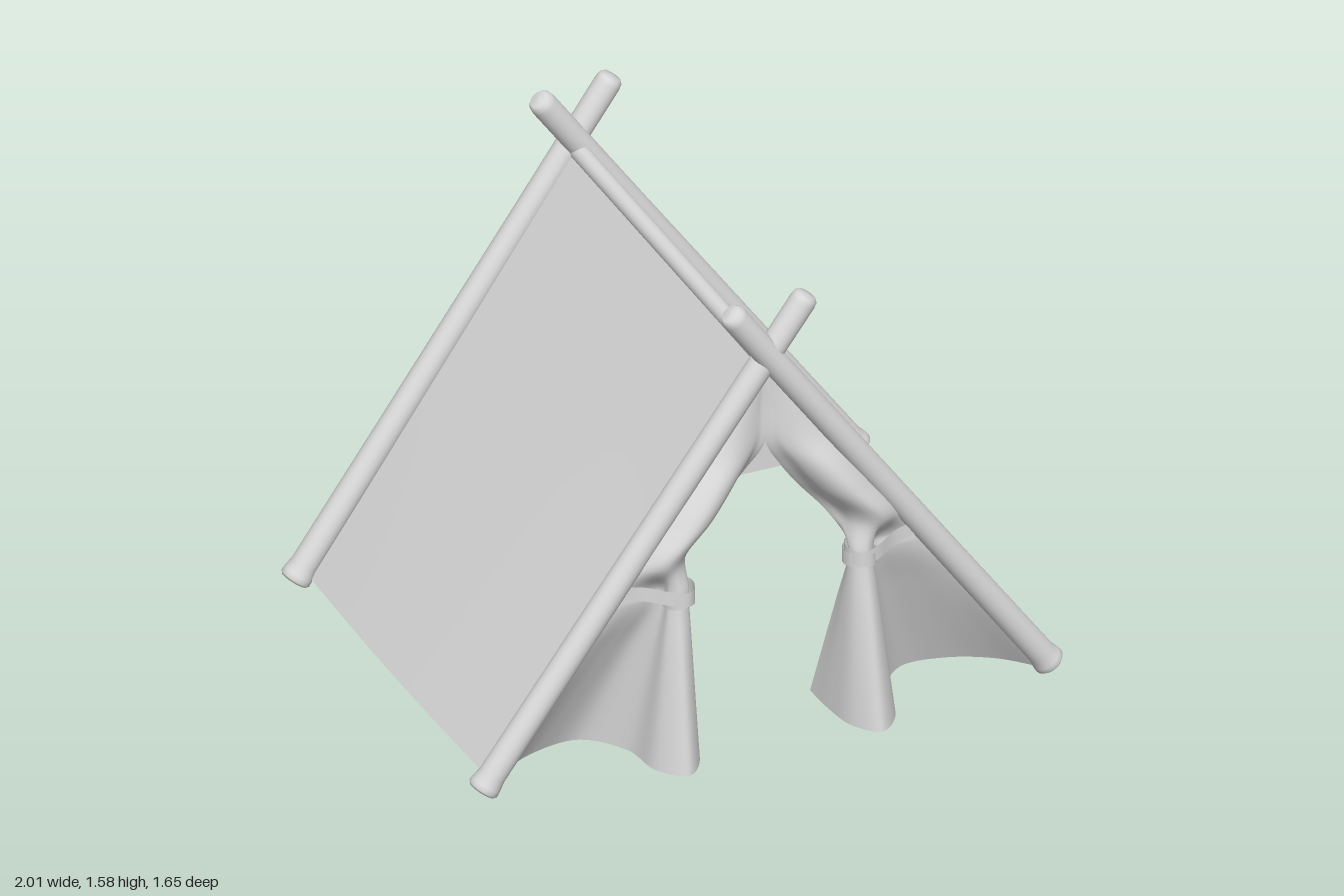
import * as THREE from 'three';

const canvas = new THREE.MeshStandardMaterial({ color: 0xd9d9d9, side: THREE.DoubleSide });
canvas.name = 'paleGrey';

const V = (x, y, z) => new THREE.Vector3(x, y, z);
const lerp = THREE.MathUtils.lerp;
const poleX = y => (1.383 - y) / 1.405; // slope of the crossed poles

function add(group, name, geometry) {
  const mesh = new THREE.Mesh(geometry, canvas);
  mesh.name = name;
  group.add(mesh);
  return mesh;
}

// Smooth sheet from a rule f(u, v) -> Vector3
function sheet(f, nu, nv) {
  const g = new THREE.PlaneGeometry(1, 1, nu, nv);
  const p = g.attributes.position;
  for (let i = 0; i < p.count; i++) {
    const q = f(p.getX(i) + 0.5, p.getY(i) + 0.5);
    p.setXYZ(i, q.x, q.y, q.z);
  }
  g.computeVertexNormals();
  return g;
}

// Round pole with a flared foot and a softened tip
function pole(group, name, foot, tip) {
  const dir = tip.clone().sub(foot);
  const L = dir.length();
  const profile = [
    [0, 0], [0.044, 0], [0.051, 0.008], [0.05, 0.025], [0.044, 0.06], [0.043, L * 0.3],
    [0.042, L * 0.7], [0.043, L - 0.03], [0.04, L - 0.01], [0.031, L], [0, L + 0.003],
  ].map(([r, y]) => new THREE.Vector2(r, y));
  const mesh = add(group, name, new THREE.LatheGeometry(profile, 20));
  mesh.position.copy(foot);
  mesh.quaternion.setFromUnitVectors(V(0, 1, 0), dir.normalize());
}

// Curtain cross-sections, listed from the pole inwards as [x, z]
const hem = [[0.95, 0.67], [0.84, 0.56], [0.7, 0.49], [0.55, 0.48], [0.44, 0.6],
  [0.41, 0.75], [0.33, 0.825], [0.26, 0.75], [0.235, 0.62], [0.23, 0.5]];
const gather = [[0.575, 0.675], [0.5, 0.675], [0.43, 0.67], [0.38, 0.67], [0.355, 0.685],
  [0.35, 0.715], [0.32, 0.735], [0.285, 0.72], [0.275, 0.69], [0.29, 0.66]];

function curtainSections() {
  const at = (rows, y) => rows.map(([x, z]) => V(x, y, z));
  const lower = t => at(hem.map(([x, z], i) => [lerp(x, gather[i][0], t), lerp(z, gather[i][1], t)]),
    lerp(0.01, 0.575, t));
  const upper = (y, inner, bulge, tuck) => hem.map((_, i) => {
    const u = i / (hem.length - 1);
    return V(lerp(poleX(y), inner, u), y,
      0.67 + bulge * Math.sin(Math.PI * Math.min(1, u * 1.1)) - tuck * Math.max(0, u - 0.75) * 4);
  });
  return [
    lower(0), lower(0.35), lower(0.7), lower(1), at(gather, 0.62),
    upper(0.72, 0.235, 0.075, 0.05), upper(0.85, 0.13, 0.085, 0.05), upper(0.95, 0.06, 0.07, 0.03),
    upper(1.06, 0, 0.035, 0), upper(1.2, 0, 0.015, 0), upper(1.37, 0, 0, 0),
  ];
}

// Flat ribbon of given height following a closed loop
function ribbon(points, height) {
  const curve = new THREE.CatmullRomCurve3(points, true);
  return sheet((u, v) => curve.getPoint(u).add(V(0, (v - 0.5) * height, 0)), 48, 2);
}

export function createModel() {
  const tent = new THREE.Group();
  tent.name = 'tent';

  // Crossed poles at both ends
  pole(tent, 'frontPoleLeft', V(0.97, 0.03, 0.68), V(-0.135, 1.57, 0.705));
  pole(tent, 'frontPoleRight', V(-0.97, 0.03, 0.67), V(0.135, 1.57, 0.69));
  pole(tent, 'backPoleLeft', V(0.97, 0.03, -0.775), V(-0.135, 1.57, -0.745));
  pole(tent, 'backPoleRight', V(-0.97, 0.03, -0.75), V(0.135, 1.57, -0.785));

  // Ridge pole
  const ridge = add(tent, 'ridgePole', new THREE.CylinderGeometry(0.03, 0.03, 1.46, 16));
  ridge.rotation.x = Math.PI / 2;
  ridge.position.set(0, 1.352, -0.03);

  // Back wall
  add(tent, 'backPanel', sheet((u, v) => {
    const y = lerp(0.04, 1.365, v);
    return V((u - 0.5) * 2 * poleX(y) * 0.985, y, -0.75);
  }, 10, 10));

  const sections = curtainSections();
  for (const s of [1, -1]) {
    const side = new THREE.Group();
    side.name = s > 0 ? 'leftSide' : 'rightSide';
    tent.add(side);

    // Sloping roof wall, bowed slightly outwards along its length
    add(side, 'roofPanel', sheet((u, v) => {
      const y = lerp(0.04, 1.365, v);
      const bow = 0.012 * Math.sin(Math.PI * u) * (1 - v);
      return V(s * (lerp(0.925, 0.008, v) + bow), y, lerp(-0.75, 0.67, u));
    }, 16, 12));

    // Tied-back curtain
    const columns = 60;
    const rows = sections.map(pts => new THREE.CatmullRomCurve3(pts).getPoints(columns));
    const rails = Array.from({ length: columns + 1 },
      (_, i) => new THREE.CatmullRomCurve3(rows.map(r => r[i])));
    add(side, 'curtain', sheet((u, v) => {
      const p = rails[Math.round(u * columns)].getPoint(v);
      return V(s * p.x, p.y, p.z);
    }, columns, 60));

    // Strap from the pole to the gathered cloth
    const strap = [[0.53, 0.69], [0.43, 0.705], [0.35, 0.745], [0.3, 0.752], [0.265, 0.725],
      [0.26, 0.675], [0.3, 0.645], [0.42, 0.655], [0.53, 0.67]];
    add(side, 'tieStrap', ribbon(strap.map(([x, z]) => V(s * x, 0.592 + (x - 0.26) * 0.2, z)), 0.05));

    // Loop around the gather
    const loop = Array.from({ length: 10 }, (_, i) => {
      const a = i / 10 * Math.PI * 2;
      const x = 0.312 + 0.05 * Math.cos(a);
      return V(s * x, 0.6 - (x - 0.31) * 0.25, 0.7 + 0.06 * Math.sin(a));
    });
    add(side, 'tieLoop', ribbon(loop, 0.045));
  }
  return tent;
}
